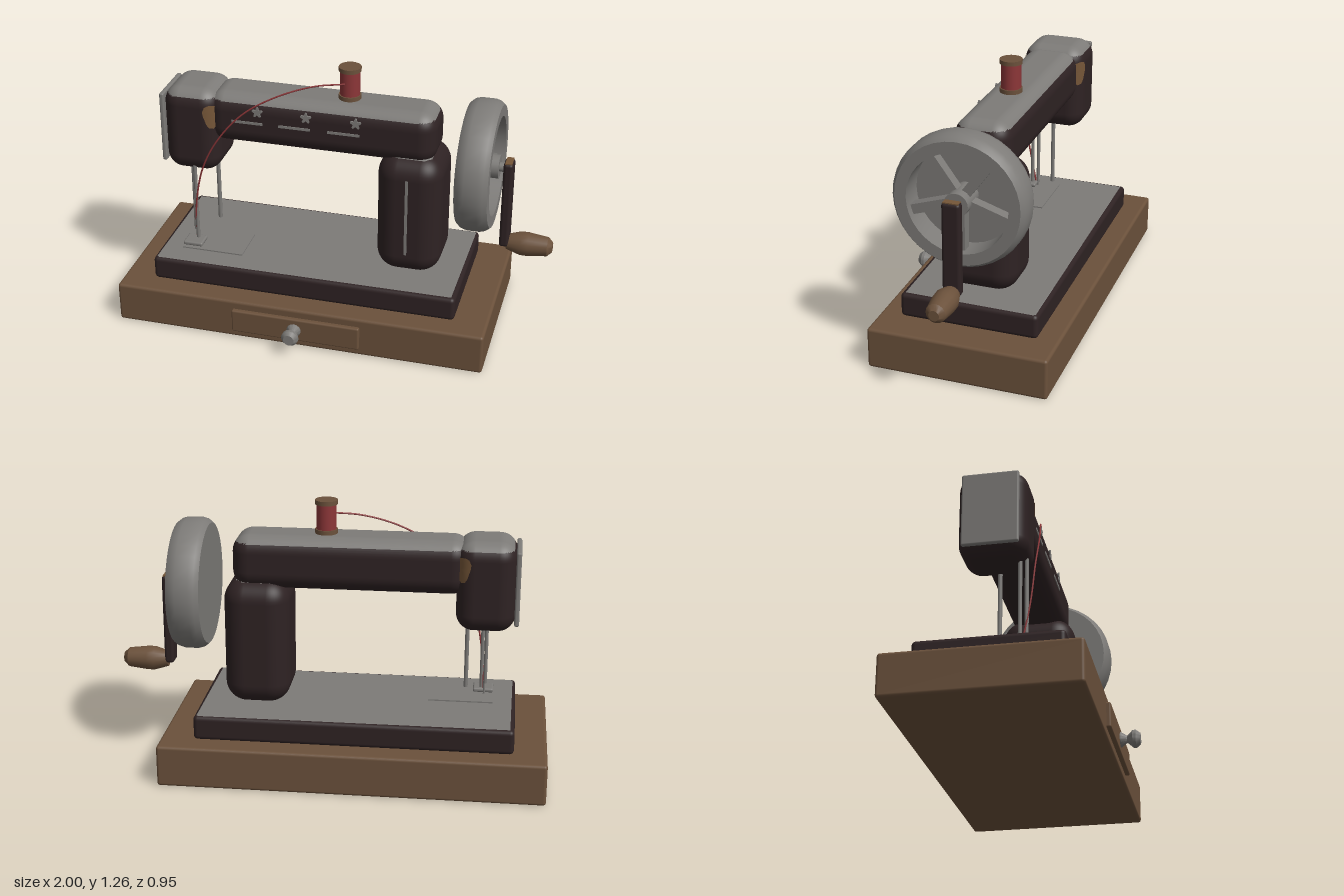
import * as THREE from 'three';
import { toCreasedNormals } from 'three/addons/utils/BufferGeometryUtils.js';
import { RoundedBoxGeometry } from 'three/addons/geometries/RoundedBoxGeometry.js';

const CZ = -0.055; // depth of the machine's centre line

export function createModel() {
  const model = new THREE.Group();
  model.name = 'sewingMachine';

  const material = (name, color, side = THREE.FrontSide) => {
    const m = new THREE.MeshStandardMaterial({ color, side });
    m.name = name;
    return m;
  };
  const wood = material('wood', 0x6b513b);
  const enamel = material('darkEnamel', 0x2e2223);
  const steel = material('steel', 0x7d7b78);
  const red = material('redThread', 0x8c3638);
  const rust = material('wornPaint', 0x755638, THREE.DoubleSide);

  const add = (name, geo, mat, x = 0, y = 0, z = 0, parent = model) => {
    const mesh = new THREE.Mesh(geo, mat);
    mesh.name = name;
    mesh.position.set(x, y, z);
    parent.add(mesh);
    return mesh;
  };

  // Rounded box given by its limits on each axis
  const block = (name, [x0, x1], [y0, y1], [z0, z1], r, mat, seg = 3) =>
    add(name, new RoundedBoxGeometry(x1 - x0, y1 - y0, z1 - z0, seg, r), mat,
      (x0 + x1) / 2, (y0 + y1) / 2, (z0 + z1) / 2);

  // Rounded box whose upward faces are bare steel
  const toppedBlock = (name, xs, ys, zs, r, limit, seg = 6) => {
    const mesh = block(name, xs, ys, zs, r, [enamel, steel], seg);
    const geo = mesh.geometry, n = geo.attributes.normal;
    geo.clearGroups();
    for (let i = 0; i < n.count; i += 3) {
      const up = (n.getY(i) + n.getY(i + 1) + n.getY(i + 2)) / 3;
      const index = up > limit ? 1 : 0;
      const last = geo.groups[geo.groups.length - 1];
      if (last && last.materialIndex === index) last.count += 3;
      else geo.addGroup(i, 3, index);
    }
    return mesh;
  };

  // Turned part; profile pairs are [radius, distance along axis]
  const turned = (profile, sides = 24) => toCreasedNormals(
    new THREE.LatheGeometry(profile.map(([r, h]) => new THREE.Vector2(r, h)), sides), 0.6);

  const rod = (name, x, z, y0, y1, r) =>
    add(name, new THREE.CylinderGeometry(r, r, y1 - y0, 10), steel, x, (y0 + y1) / 2, z);

  // Wooden base with drawer
  block('woodenBase', [-1, 0.765], [0, 0.195], [-0.475, 0.367], 0.014, wood);
  block('drawerFront', [-0.425, 0.19], [0.04, 0.155], [0.355, 0.387], 0.008, wood);
  const knob = turned([[0, 0], [0.034, 0], [0.034, 0.006], [0.016, 0.032], [0.04, 0.058],
    [0.04, 0.072], [0.026, 0.09], [0, 0.09]], 14);
  knob.rotateX(Math.PI / 2);
  add('drawerKnob', knob, steel, -0.12, 0.098, 0.385);

  // Machine body
  toppedBlock('bed', [-0.85, 0.61], [0.195, 0.31], [-0.378, 0.268], 0.02, 0.97, 3);
  toppedBlock('column', [0.192, 0.496], [0.31, 0.905], [-0.227, 0.122], 0.1, 0.9);
  toppedBlock('arm', [-0.62, 0.456], [0.862, 1.11], [-0.187, 0.077], 0.08, 0.58);
  toppedBlock('head', [-0.832, -0.565], [0.7, 1.117], [-0.208, 0.097], 0.08, 0.55);
  block('facePlate', [-0.85, -0.828], [0.735, 1.08], [-0.18, 0.07], 0.008, steel);

  // Worn patches wrapped around the two inner corners of the head
  for (const side of [1, -1]) {
    const geo = new THREE.RingGeometry(0.001, 1, 16, 4);
    const p = geo.attributes.position, r = 0.083;
    for (let i = 0; i < p.count; i++) {
      const t = Math.atan2(p.getY(i), p.getX(i));
      const wobble = 1 + 0.14 * Math.sin(3 * t + 0.5);
      const a = Math.PI / 4 + p.getX(i) * wobble * 0.6;
      p.setXYZ(i, r * Math.sin(a), p.getY(i) * wobble * 0.058, side * r * Math.cos(a));
    }
    geo.computeVertexNormals();
    add('wornPatch', geo, rust, -0.645, 1.0, side > 0 ? 0.017 : -0.128);
  }

  // Painted trim on the arm and column
  const flower = new THREE.Shape();
  for (let i = 0; i <= 40; i++) {
    const a = (i / 40) * Math.PI * 2;
    const r = 0.02 + 0.007 * Math.cos(5 * a - Math.PI / 2);
    flower[i ? 'lineTo' : 'moveTo'](r * Math.cos(a), r * Math.sin(a));
  }
  const flowerGeo = new THREE.ExtrudeGeometry(flower, { depth: 0.008, bevelEnabled: false });
  for (const [fx, sx] of [[-0.37, -0.42], [-0.14, -0.195], [0.093, 0.037]]) {
    add('armFlower', flowerGeo, steel, fx, 1.045, 0.073);
    add('armStripe', new THREE.BoxGeometry(0.15, 0.012, 0.008), steel, sx, 0.988, 0.077);
  }
  add('columnStripe', new THREE.BoxGeometry(0.013, 0.385, 0.008), steel, 0.343, 0.618, 0.122);

  // Needle, presser foot and needle plate
  rod('needleBar', -0.706, 0.05, 0.37, 0.73, 0.009);
  rod('needle', -0.702, 0.05, 0.31, 0.38, 0.005);
  rod('presserBar', -0.688, 0.075, 0.33, 0.73, 0.009);
  rod('rearBar', -0.618, CZ, 0.39, 0.9, 0.01);
  block('presserFoot', [-0.745, -0.65], [0.32, 0.34], [0.05, 0.135], 0.008, steel);
  add('needlePlate', new THREE.BoxGeometry(0.3, 0.008, 0.2), steel, -0.595, 0.312, 0.045);

  // Handwheel: dished disc with hub and five spokes
  const wheel = new THREE.Group();
  wheel.name = 'handwheel';
  wheel.position.set(0.65, 0.85, CZ);
  model.add(wheel);
  const rim = turned([[0, -0.075], [0.28, -0.075], [0.298, -0.055], [0.305, -0.03],
    [0.305, 0.03], [0.298, 0.055], [0.283, 0.075], [0.23, 0.075], [0.23, -0.045], [0, -0.045]], 36);
  rim.rotateZ(-Math.PI / 2);
  add('wheelRim', rim, steel, 0, 0, 0, wheel);
  const hub = new THREE.CylinderGeometry(0.055, 0.055, 0.13, 20);
  hub.rotateZ(Math.PI / 2);
  add('wheelHub', hub, steel, 0.02, 0, 0, wheel);
  const spokeGeo = new THREE.BoxGeometry(0.05, 0.21, 0.045);
  spokeGeo.translate(0, 0.13, 0);
  for (let i = 0; i < 5; i++) {
    const spoke = add('wheelSpoke', spokeGeo, steel, 0.015, 0, 0, wheel);
    spoke.rotation.x = Math.PI + (i * Math.PI * 2) / 5;
  }

  // Crank with wooden grip
  const axle = new THREE.CylinderGeometry(0.022, 0.022, 0.06, 14);
  axle.rotateZ(Math.PI / 2);
  add('crankAxle', axle, steel, 0.75, 0.85, CZ);
  block('crankArm', [0.755, 0.8], [0.455, 0.885], [-0.096, -0.012], 0.015, enamel);
  add('crankWornEdge', new THREE.BoxGeometry(0.032, 0.006, 0.07), rust, 0.778, 0.884, -0.054);
  const grip = turned([[0, 0], [0.036, 0], [0.056, 0.065], [0.056, 0.1], [0.045, 0.19],
    [0.024, 0.212], [0, 0.212]], 16);
  grip.rotateZ(-Math.PI / 2);
  add('crankGrip', grip, wood, 0.788, 0.465, CZ);

  // Spool
  const disc = new THREE.CylinderGeometry(0.052, 0.052, 0.02, 20);
  add('spoolFlange', disc, wood, 0.033, 1.12, CZ);
  add('spoolFlange', disc, wood, 0.033, 1.255, CZ);
  add('spoolThread', new THREE.CylinderGeometry(0.046, 0.046, 0.116, 20), red, 0.033, 1.188, CZ);

  // Thread running from spool to needle
  const path = new THREE.CatmullRomCurve3([
    [0.02, 1.193, -0.012], [-0.12, 1.178, 0.018], [-0.29, 1.122, 0.06], [-0.44, 1.03, 0.088],
    [-0.56, 0.89, 0.105], [-0.64, 0.73, 0.103], [-0.685, 0.52, 0.09], [-0.7, 0.34, 0.06],
  ].map((p) => new THREE.Vector3(...p)));
  add('thread', new THREE.TubeGeometry(path, 40, 0.004, 6), red);

  return model;
}
